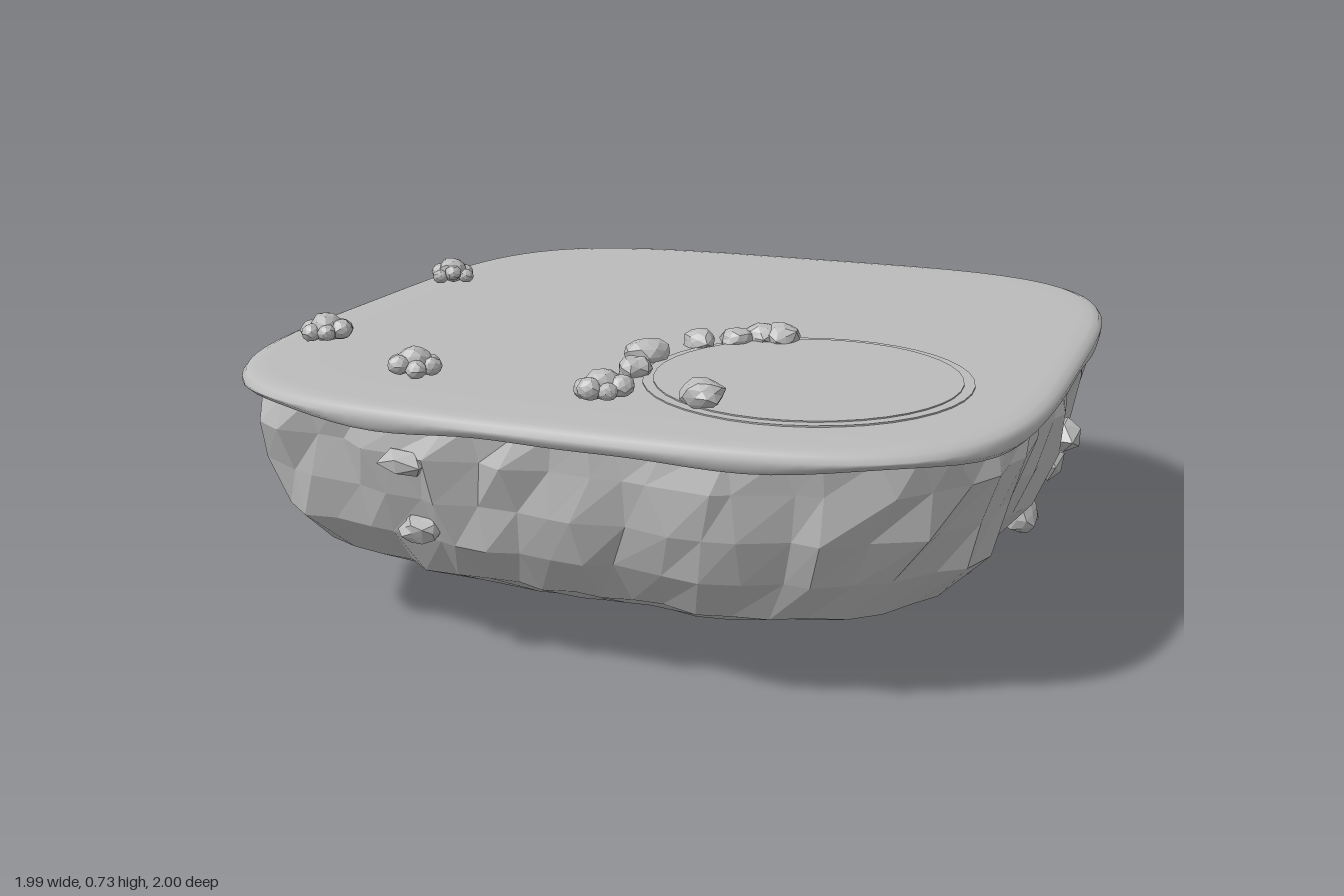
import * as THREE from 'three';

const stone = new THREE.MeshStandardMaterial({ color: 0xbbbbbb });
stone.name = 'pale stone grey';

// Repeatable noise in -1..1
const noise = (a, b = 0, c = 0) => {
  const s = Math.sin(a * 12.9898 + b * 78.233 + c * 37.719) * 43758.5453;
  return (s - Math.floor(s)) * 2 - 1;
};

// Rounded-square outline: distance from the centre at an angle
const outline = t => Math.pow(Math.cos(t) ** 4 + Math.sin(t) ** 4, -0.25);

// Skins a stack of closed rings, listed from the bottom up; point(i, j) returns [x, y, z]
function loft(rings, cols, point, flat) {
  const pos = [], idx = [];
  for (let i = 0; i < rings; i++)
    for (let j = 0; j < cols; j++) pos.push(...point(i, j));
  for (let i = 0; i < rings - 1; i++)
    for (let j = 0; j < cols; j++) {
      const k = (j + 1) % cols;
      const a = i * cols + j, b = i * cols + k, c = a + cols, d = b + cols;
      if (i > 0) idx.push(a, c, b);
      if (i < rings - 2) idx.push(b, c, d);
      else idx.push(b, c, d);
    }
  let g = new THREE.BufferGeometry();
  g.setAttribute('position', new THREE.Float32BufferAttribute(pos, 3));
  g.setIndex(idx);
  if (flat) g = g.toNonIndexed();
  g.computeVertexNormals();
  return g;
}

function add(parent, geometry, name) {
  const m = new THREE.Mesh(geometry, stone);
  m.name = name;
  parent.add(m);
  return m;
}

// Faceted pebble, made uneven by a rule on its corner positions
function pebble(seed, detail = 1, rough = 0.13) {
  const g = new THREE.IcosahedronGeometry(1, detail), p = g.attributes.position;
  const r = v => Math.round(v * 100);
  for (let i = 0; i < p.count; i++) {
    const x = p.getX(i), y = p.getY(i), z = p.getZ(i);
    const s = 1 + rough * noise(r(x) + seed, r(y), r(z));
    p.setXYZ(i, x * s, y * s, z * s);
  }
  g.computeVertexNormals();
  return g;
}

export function createModel() {
  const model = new THREE.Group();
  model.name = 'floatingIsland';

  // Rocky underside: faceted bowl, [radius, height] from the tip up
  const bowl = [[0, 0], [0.39, 0.04], [0.65, 0.11], [0.83, 0.2], [0.915, 0.31],
    [0.95, 0.42], [0.965, 0.53], [0.965, 0.61]];
  const cols = 72;
  add(model, loft(bowl.length, cols, (i, j) => {
    const t = (j + (i > 3 ? 0.35 * noise(i, j, 5) : 0)) / cols * Math.PI * 2;
    const rough = i > 2 && i < 7 ? 0.02 : 0.008;
    const fold = 0.012 * Math.sin(t * 11 + 1) + 0.008 * Math.sin(t * 17);
    const r = bowl[i][0] * outline(t) * (1 - 0.012 + fold * (i < 7 ? 1 : 0.3) + rough * noise(i, j));
    return [r * Math.cos(t), bowl[i][1], r * Math.sin(t)];
  }, true), 'rockyUnderside');

  // Top slab: smooth, with a rounded lip and a wavy lower edge
  const lip = [[0.9, 0.6], [0.965, 0.592], [0.985, 0.596], [0.996, 0.608], [0.997, 0.622],
    [0.988, 0.635], [0.97, 0.642], [0.94, 0.645], [0.8, 0.647], [0, 0.647]];
  add(model, loft(lip.length, 128, (i, j) => {
    const t = j / 128 * Math.PI * 2;
    const wave = i < 4 ? 0.006 * Math.sin(t * 9) + 0.004 * Math.sin(t * 14 + 2) : 0;
    const r = lip[i][0] * outline(t);
    return [r * Math.cos(t), lip[i][1] + wave, r * Math.sin(t)];
  }, false), 'grassTop');

  // Pond: low shore disc and a water disc
  for (const [name, r, top] of [['pondShore', 0.385, 0.65], ['pondWater', 0.36, 0.653]])
    add(model, new THREE.CylinderGeometry(r, r, 0.008, 40), name).position.set(0.43, top - 0.004, 0.43);

  // Stones along the pond edge: x, z, size
  const edge = [[0.265, 0.11, 0.052], [0.215, 0.12, 0.045], [0.16, 0.17, 0.042], [0.08, 0.22, 0.044],
    [0.01, 0.39, 0.054], [0.035, 0.53, 0.045], [0.28, 0.73, 0.05]];
  edge.forEach(([x, z, s], i) => {
    const m = add(model, pebble(i * 7 + 3), 'pondStone');
    m.position.set(x, i === 6 ? 0.675 : 0.66, z);
    m.scale.set(s * 0.9, s * 0.68, s * 1.05);
    m.rotation.y = i * 1.3;
  });

  // Bushes: a core ringed by small lobes
  [[-0.85, -0.2], [-0.8, 0.54], [-0.42, 0.76], [0.07, 0.79]].forEach(([x, z], n) => {
    const bush = new THREE.Group();
    bush.name = 'bush';
    bush.position.set(x, 0.684, z);
    bush.rotation.y = n * 1.1;
    for (let k = 0; k < 7; k++) {
      const a = k * Math.PI / 3, r = k < 6 ? 0.042 : 0;
      const m = add(bush, pebble(n * 9 + k, 1, 0.07), 'bushLobe');
      m.position.set(r * Math.cos(a), k < 6 ? 0.008 * noise(k, n) : 0.008, r * Math.sin(a));
      const s = k < 6 ? 0.026 + 0.004 * noise(n, k) : 0.04;
      m.scale.set(s, s * 0.9, s);
    }
    model.add(bush);
  });

  // Rocks stuck in the cliff: x, y, z, width, height
  const cliff = [[-0.34, 0.515, 0.96, 0.058, 0.032], [-0.34, 0.34, 0.9, 0.05, 0.034],
    [0.96, 0.42, -0.07, 0.058, 0.046], [0.88, 0.245, 0.06, 0.058, 0.05],
    [0.885, 0.255, -0.35, 0.06, 0.055], [0.83, 0.44, -0.82, 0.055, 0.052],
    [0.77, 0.4, -0.9, 0.05, 0.045], [-0.57, 0.41, -0.94, 0.075, 0.055],
    [-0.88, 0.5, -0.77, 0.06, 0.05], [-0.92, 0.4, -0.67, 0.055, 0.05],
    [-0.91, 0.32, -0.15, 0.05, 0.05]];
  cliff.forEach(([x, y, z, w, h], i) => {
    const m = add(model, pebble(i * 5 + 40, i % 2, 0.16), 'cliffRock');
    m.position.set(x, y, z);
    m.scale.set(w, h, 0.045);
    m.rotation.y = Math.atan2(x ** 3, z ** 3);
  });

  return model;
}
